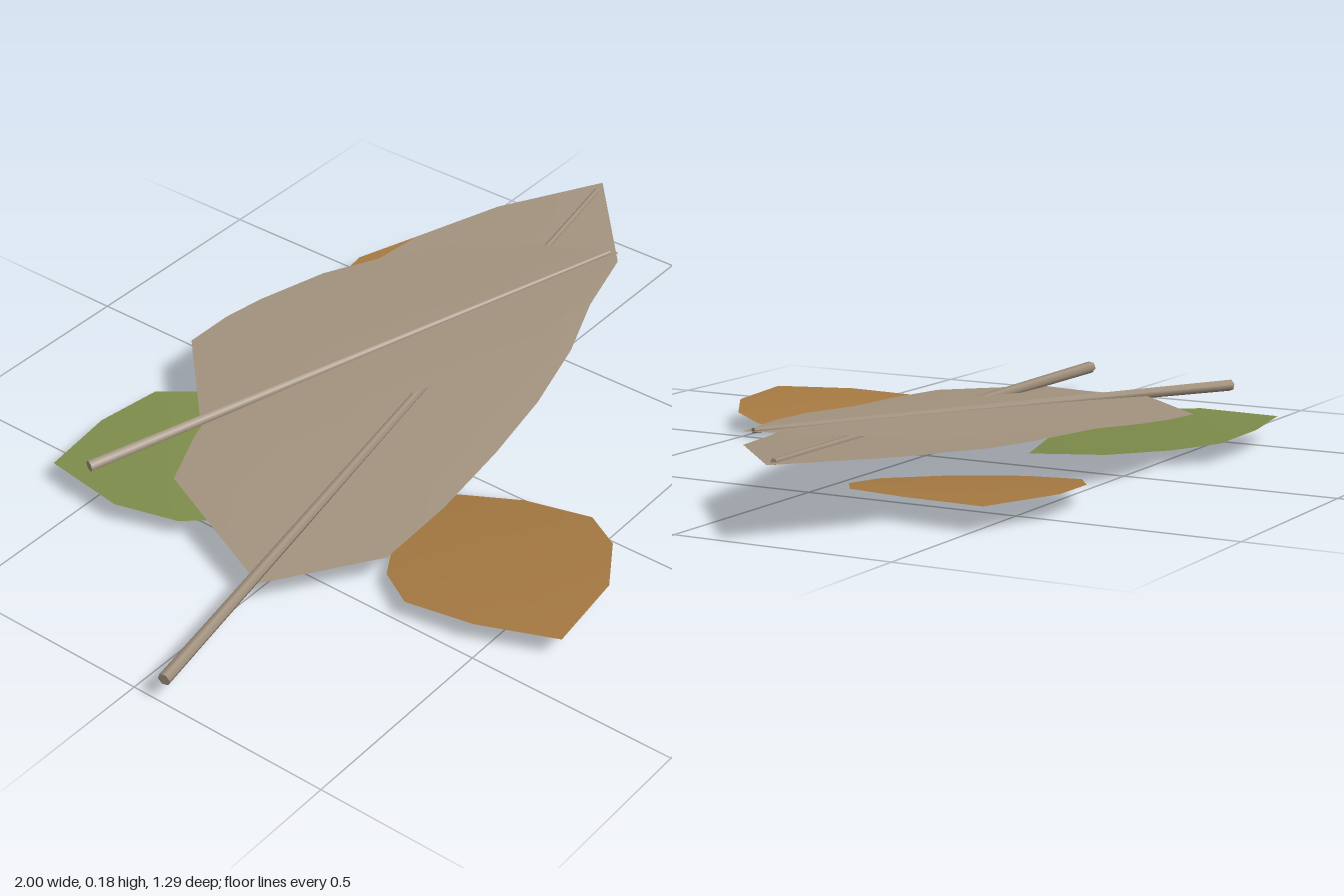
import * as THREE from 'three';

const paint = (name, color, side) => {
  const m = new THREE.MeshStandardMaterial({ color, side });
  m.name = name;
  return m;
};

// Thin blade: rings shrinking from an [x, z] outline to its centre, with height(x, z, r)
function blade(name, outline, centre, height, material, rings = 6) {
  const n = outline.length, pos = [], index = [];
  const add = (x, z, r) => pos.push(x, height(x, z, r), z);
  add(centre[0], centre[1], 0);
  for (let k = 1; k <= rings; k++) {
    const r = k / rings;
    for (const [x, z] of outline) add(centre[0] + (x - centre[0]) * r, centre[1] + (z - centre[1]) * r, r);
  }
  // outlines run anticlockwise seen from above, so faces point up
  for (let i = 0; i < n; i++) {
    const j = (i + 1) % n;
    index.push(0, 1 + i, 1 + j);
    for (let k = 0; k < rings - 1; k++) {
      const a = 1 + k * n, b = a + n;
      index.push(a + i, b + i, b + j, a + i, b + j, a + j);
    }
  }
  const g = new THREE.BufferGeometry();
  g.setAttribute('position', new THREE.Float32BufferAttribute(pos, 3));
  g.setIndex(index);
  g.computeVertexNormals();
  const mesh = new THREE.Mesh(g, material);
  mesh.name = name;
  return mesh;
}

// Tapered rod between two points
function stem(name, from, to, r0, r1, material) {
  const a = new THREE.Vector3(...from), b = new THREE.Vector3(...to);
  const dir = b.clone().sub(a);
  const mesh = new THREE.Mesh(new THREE.CylinderGeometry(r1, r0, dir.length(), 6), material);
  mesh.position.copy(a).add(b).multiplyScalar(0.5);
  mesh.quaternion.setFromUnitVectors(new THREE.Vector3(0, 1, 0), dir.normalize());
  mesh.name = name;
  return mesh;
}

// Half outline of a small leaf as [along, across]; the other half is its half-turn copy
const HALF_LEAF = [[0.309, 0], [0.187, 0.17], [0.055, 0.244], [-0.057, 0.249], [-0.19, 0.147]];

function smallLeaf(name, cx, cz, tx, tz, material) {
  const len = Math.hypot(tx - cx, tz - cz);
  const ux = (tx - cx) / len, uz = (tz - cz) / len;
  const half = HALF_LEAF.map(([a, c]) => [a * ux + c * uz, a * uz - c * ux]);
  const outline = [...half, ...half.map(([x, z]) => [-x, -z])].map(([x, z]) => [cx + x, cz + z]);
  const height = (x, z) => {
    const t = ((x - cx) * ux + (z - cz) * uz) / 0.309;
    return 0.055 * (1 - ((1 - t) / 2) ** 2);
  };
  return blade(name, outline, [cx, cz], height, material);
}

export function createModel() {
  const taupe = paint('taupe', 0xa3937f, THREE.DoubleSide);
  const brown = paint('ochre brown', 0xa67a42, THREE.DoubleSide);
  const green = paint('leaf green', 0x7d8c4b, THREE.DoubleSide);
  const model = new THREE.Group();
  model.name = 'fallenLeaves';

  // Large lower leaf
  const lower = new THREE.Group();
  lower.name = 'lowerLargeLeaf';
  lower.add(
    blade('lowerBlade', [
      [1, -0.22], [0.76, -0.37], [0.54, -0.455], [0.4, -0.475], [0.1, -0.485], [-0.15, -0.45],
      [-0.36, -0.39], [-0.5, -0.33], [-0.65, 0.04], [-0.42, 0.21], [-0.22, 0.21], [0, 0.19],
      [0.2, 0.16], [0.4, 0.11], [0.57, 0.045], [0.75, 0],
    ], [0.05, -0.09], (x, z, r) => 0.103 + 0.052 * x - 0.025 * z + 0.005 * (1 - r * r), taupe),
    stem('lowerStem', [-0.998, 0.065, 0.085], [0.96, 0.16, -0.21], 0.015, 0.007, taupe),
  );

  // Large upper leaf, lying across the lower one
  const upper = new THREE.Group();
  upper.name = 'upperLargeLeaf';
  upper.add(
    blade('upperBlade', [
      [0.75, 0], [0.7, -0.1], [0.64, -0.23], [0.56, -0.34], [0.41, -0.45], [0.27, -0.53],
      [0.1, -0.585], [0, -0.605], [-0.12, -0.61], [-0.35, -0.38], [-0.28, -0.18], [-0.1, -0.11],
      [0.1, -0.03], [0.28, 0.03], [0.43, 0.05], [0.57, 0.04],
    ], [0.15, -0.24], (x, z, r) => 0.139 + 0.041 * x + 0.008 * z + 0.004 * (1 - r * r), taupe),
    stem('upperStem', [-0.61, 0.116, -0.48], [0.735, 0.171, -0.015], 0.014, 0.006, taupe),
  );

  // Three small leaves resting underneath
  model.add(
    lower, upper,
    smallLeaf('frontSmallLeaf', -0.24, 0.38, -0.39, 0.65, brown),
    smallLeaf('backLeftSmallLeaf', 0.432, -0.348, 0.685, -0.525, brown),
    smallLeaf('backRightSmallLeaf', -0.367, -0.4, -0.595, -0.61, green),
  );
  return model;
}
